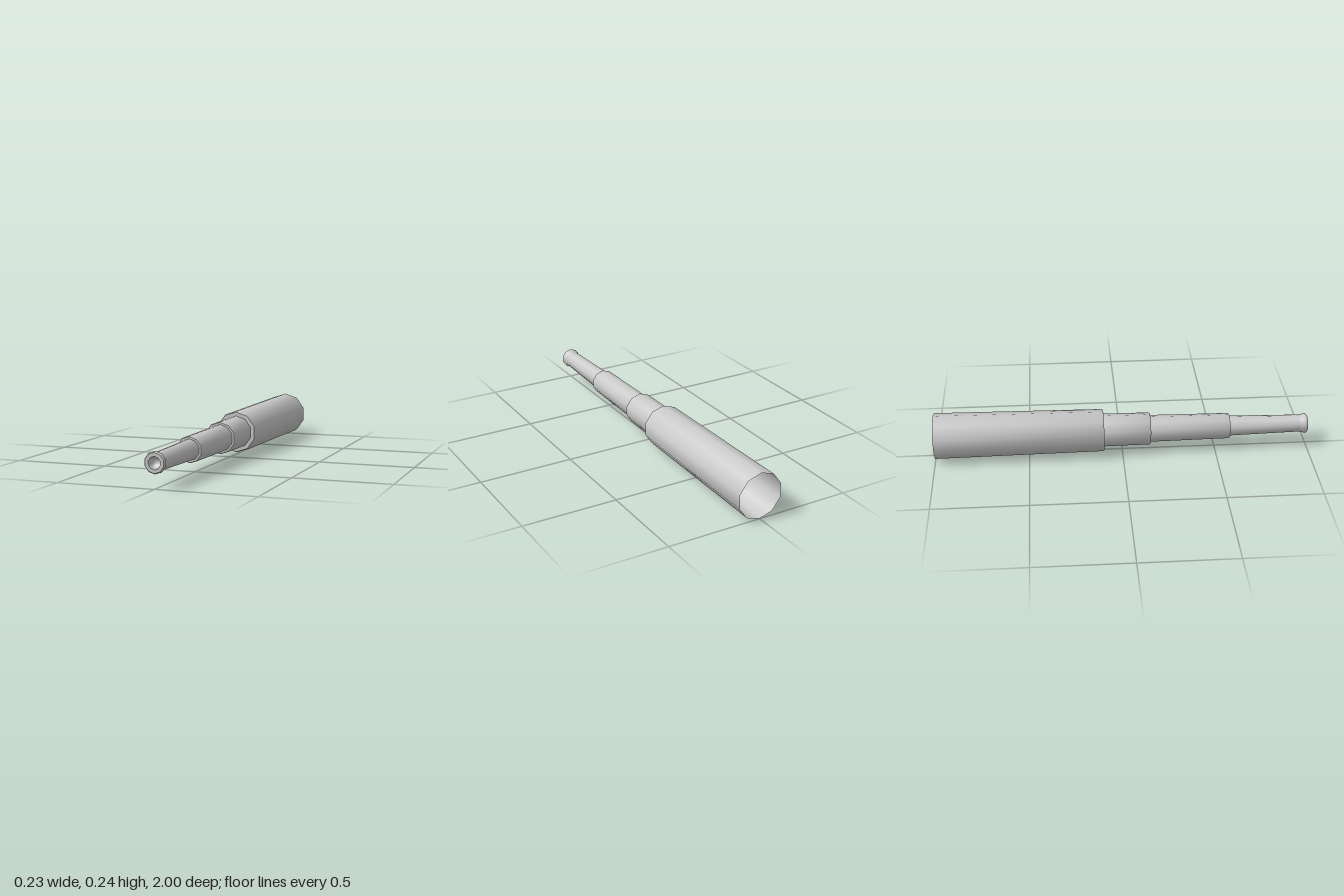
import * as THREE from 'three';
import { toCreasedNormals } from 'three/addons/utils/BufferGeometryUtils.js';

const SIDES = 10;
const AXIS_HEIGHT = 0.122;

export function createModel() {
  const group = new THREE.Group();
  group.name = 'telescope';
  const material = new THREE.MeshStandardMaterial({ color: 0xcccccc, side: THREE.DoubleSide });

  // Ten-sided tube along z from [radius, z] pairs, running back to front
  function addTube(name, profile) {
    const points = profile.map(([r, z]) => new THREE.Vector2(r, z));
    const lathe = new THREE.LatheGeometry(points, SIDES);
    lathe.rotateX(Math.PI / 2);
    const mesh = new THREE.Mesh(toCreasedNormals(lathe, 0.8), material);
    mesh.name = name;
    mesh.position.y = AXIS_HEIGHT;
    group.add(mesh);
  }

  // Wide main barrel, open at the back, with a bevelled front shoulder
  addTube('mainBarrel', [[0.122, -1], [0.113, -0.11], [0.109, -0.1], [0.088, -0.1]]);

  // Sliding draw tubes, each ending in a small shoulder
  addTube('rearDrawTube', [[0.088, -0.1], [0.086, 0.145], [0.083, 0.15], [0.072, 0.15]]);
  addTube('middleDrawTube', [[0.072, 0.15], [0.068, 0.57], [0.065, 0.577], [0.054, 0.577]]);

  // Slim eyepiece tube with a flared lip
  addTube('eyepieceTube', [
    [0.054, 0.577], [0.046, 0.95], [0.048, 0.97], [0.054, 0.985], [0.053, 0.995], [0.049, 1], [0.031, 1],
  ]);

  // Hollow cup set into the eyepiece
  addTube('eyepieceCup', [[0.031, 1], [0.027, 0.98], [0.017, 0.966], [0, 0.96]]);

  return group;
}
